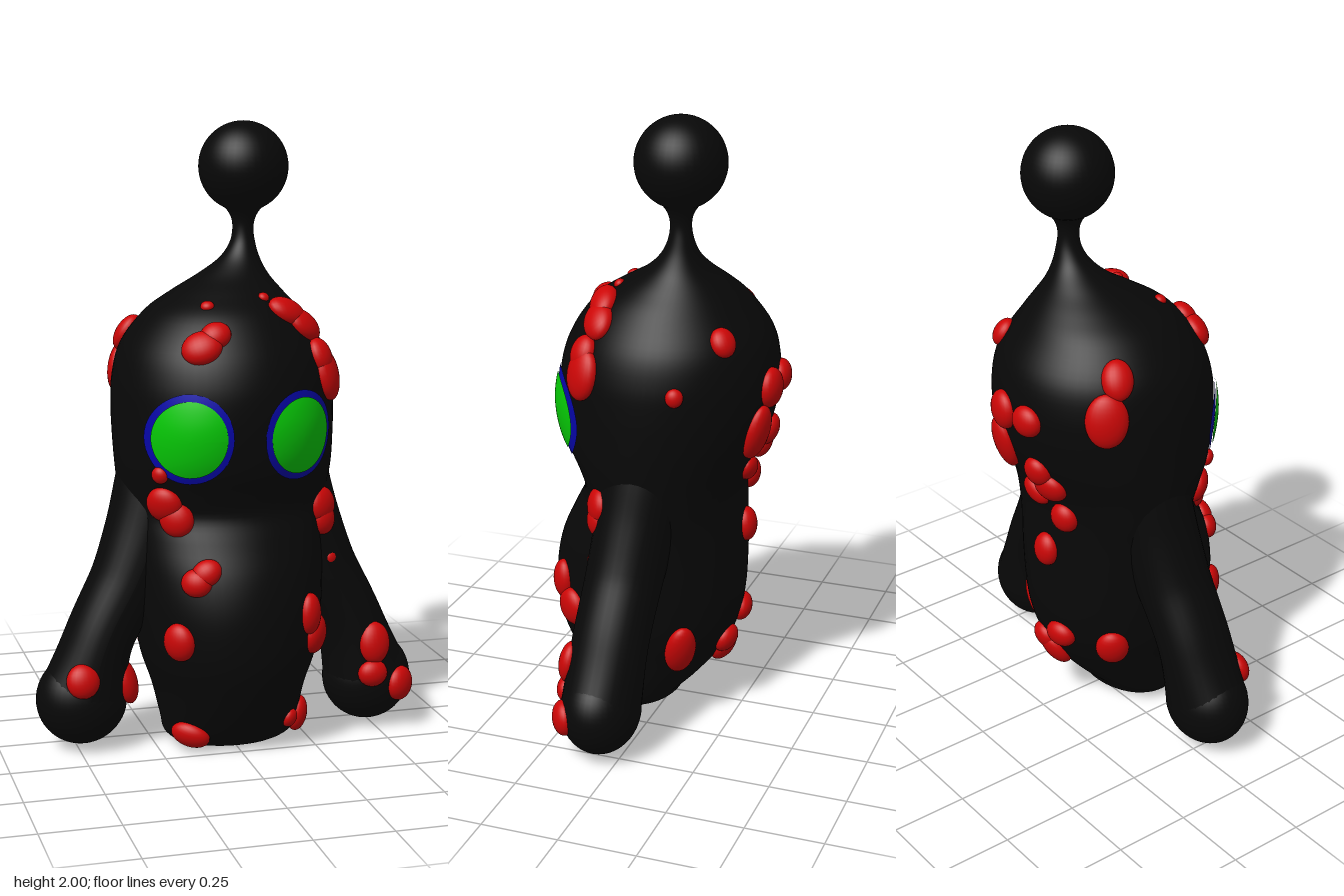
import * as THREE from 'three';

const mat = (name, color) => {
  const m = new THREE.MeshStandardMaterial({ color });
  m.name = name;
  return m;
};

// Body cross-sections: y, centre x, half width, front z, back z
const SECTIONS = [
  [0.0, 0, 0.001, 0.101, 0.099], [0.005, 0, 0.15, 0.2, -0.01], [0.04, 0, 0.215, 0.245, -0.04],
  [0.1, 0, 0.23, 0.288, -0.1], [0.2, 0, 0.252, 0.34, -0.18], [0.3, 0, 0.285, 0.378, -0.225],
  [0.4, 0, 0.3, 0.39, -0.245], [0.5, 0, 0.31, 0.385, -0.25], [0.6, 0, 0.315, 0.36, -0.25],
  [0.7, 0, 0.322, 0.312, -0.245], [0.78, 0, 0.335, 0.275, -0.245], [0.85, 0, 0.347, 0.295, -0.26],
  [0.92, 0, 0.354, 0.33, -0.29], [1.0, 0, 0.358, 0.35, -0.322], [1.1, 0, 0.36, 0.36, -0.345],
  [1.2, 0, 0.354, 0.352, -0.348], [1.3, 0, 0.325, 0.315, -0.325], [1.4, 0.005, 0.252, 0.24, -0.258],
  [1.46, 0.025, 0.182, 0.15, -0.205], [1.51, 0.05, 0.118, 0.065, -0.155], [1.56, 0.075, 0.068, 0.01, -0.12],
  [1.61, 0.087, 0.042, -0.018, -0.102], [1.66, 0.089, 0.034, -0.026, -0.094],
  [1.7, 0.09, 0.043, -0.017, -0.103], [1.735, 0.09, 0.071, 0.011, -0.131], [1.76, 0.09, 0.106, 0.046, -0.166],
];
const curveA = new THREE.CatmullRomCurve3(SECTIONS.map(s => new THREE.Vector3(s[0], s[1], s[2])), false, 'catmullrom', 0.5);
const curveB = new THREE.CatmullRomCurve3(SECTIONS.map(s => new THREE.Vector3(s[3], s[4], 0)), false, 'catmullrom', 0.5);

function sectionAt(u) {
  const a = curveA.getPoint(u), b = curveB.getPoint(u);
  return { y: a.x, cx: a.y, hx: a.z, cz: (b.x + b.y) / 2, hz: (b.x - b.y) / 2 };
}
function sectionAtY(y) {
  let lo = 0, hi = 1;
  for (let i = 0; i < 30; i++) {
    const m = (lo + hi) / 2;
    if (curveA.getPoint(m).x < y) lo = m; else hi = m;
  }
  return sectionAt(lo);
}
const ringPoint = (s, t) => new THREE.Vector3(s.cx + s.hx * Math.sin(t), s.y, s.cz + s.hz * Math.cos(t));
const arcsin = v => Math.asin(THREE.MathUtils.clamp(v, -1, 1));

function bodyGeometry(rows = 125, cols = 64) {
  const pos = [], idx = [];
  for (let i = 0; i <= rows; i++) {
    const s = sectionAt(i / rows);
    for (let j = 0; j < cols; j++) pos.push(...ringPoint(s, (j / cols) * Math.PI * 2).toArray());
  }
  for (let i = 0; i < rows; i++) for (let j = 0; j < cols; j++) {
    const k = (j + 1) % cols, a = i * cols + j, b = i * cols + k, c = b + cols, d = a + cols;
    idx.push(a, b, c, a, c, d);
  }
  const g = new THREE.BufferGeometry();
  g.setAttribute('position', new THREE.Float32BufferAttribute(pos, 3));
  g.setIndex(idx);
  g.computeVertexNormals();
  return g;
}

// Arm stations: centre x, y, z, radius across, radius in depth
const ARM = [
  [0.17, 1.02, 0, 0.145, 0.14], [0.213, 0.86, 0.015, 0.14, 0.14], [0.255, 0.72, 0.03, 0.13, 0.13],
  [0.32, 0.56, 0.045, 0.117, 0.124], [0.42, 0.37, 0.057, 0.114, 0.124], [0.485, 0.165, 0.066, 0.146, 0.126],
];
// Tube whose radii change along its length
function armGeometry(side) {
  const path = new THREE.CatmullRomCurve3(ARM.map(p => new THREE.Vector3(p[0] * side, p[1], p[2])));
  const radii = new THREE.CatmullRomCurve3(ARM.map((p, i) => new THREE.Vector3(p[3], p[4], i * 0.1)));
  const rows = 40, cols = 32, g = new THREE.TubeGeometry(path, rows, 1, cols);
  const p = g.attributes.position, v = new THREE.Vector3();
  for (let i = 0; i <= rows; i++) {
    const c = path.getPointAt(i / rows), r = radii.getPoint(i / rows);
    for (let j = 0; j <= cols; j++) {
      const k = i * (cols + 1) + j;
      v.fromBufferAttribute(p, k).sub(c);
      p.setXYZ(k, c.x + v.x * r.x, c.y + v.y * r.x, c.z + v.z * r.y);
    }
  }
  g.computeVertexNormals();
  return g;
}

// Elliptical patch laid over the front of the head, lifted at its middle
function eyeGeometry(x, y, rx, ry, edge, dome) {
  const g = new THREE.RingGeometry(0.001, 1, 48, 10), p = g.attributes.position;
  for (let i = 0; i < p.count; i++) {
    const u = p.getX(i), v = p.getY(i), s = sectionAtY(y + v * ry);
    const q = ringPoint(s, arcsin((x + u * rx - s.cx) / s.hx));
    const k = 1 + (edge + dome * (1 - u * u - v * v)) / Math.hypot(q.x, q.z);
    p.setXYZ(i, q.x * k, q.y, q.z * k);
  }
  g.computeVertexNormals();
  return g;
}

// Body spots by area: [x (or z on the sides), y, half width, half height, roll in degrees]
const SPOTS = {
  front: [
    [-0.135, 1.32, 0.065, 0.055, 20], [-0.09, 1.355, 0.05, 0.045, 30], [-0.09, 1.435, 0.022, 0.02, 0],
    [0.1, 1.455, 0.018, 0.018, 0], [0.17, 1.41, 0.07, 0.05, -35], [0.225, 1.365, 0.07, 0.055, -40],
    [0.27, 1.27, 0.05, 0.06, 0], [0.295, 1.21, 0.065, 0.085, 0], [-0.26, 0.92, 0.028, 0.028, 0],
    [-0.24, 0.82, 0.06, 0.06, 0], [-0.205, 0.775, 0.055, 0.06, 35], [-0.165, 0.59, 0.05, 0.045, 0],
    [-0.135, 0.62, 0.05, 0.042, 35], [-0.215, 0.395, 0.055, 0.062, 0], [0.21, 0.46, 0.045, 0.067, 0],
    [0.24, 0.38, 0.06, 0.065, 0], [-0.16, 0.06, 0.065, 0.045, -15], [0.17, 0.09, 0.03, 0.032, 0],
    [0.217, 0.08, 0.045, 0.06, 0],
  ],
  back: [
    [0.05, 1.15, 0.058, 0.065, 0], [-0.07, 1.155, 0.055, 0.052, 0], [0.09, 1.01, 0.058, 0.095, 0],
    [-0.07, 0.965, 0.05, 0.055, 0], [-0.095, 0.91, 0.06, 0.055, 0], [0.0, 0.85, 0.055, 0.04, -35],
    [-0.11, 0.79, 0.05, 0.052, 0], [-0.03, 0.64, 0.048, 0.058, 0], [0.2, 1.33, 0.042, 0.048, 0],
    [-0.07, 0.32, 0.055, 0.048, 0], [0.01, 0.21, 0.052, 0.07, 20], [0.04, 0.25, 0.052, 0.05, 0],
  ],
  left: [[-0.125, 1.18, 0.028, 0.03, 0], [-0.105, 0.27, 0.052, 0.095, 0]],
  right: [[-0.2, 1.2, 0.068, 0.088, 0], [-0.15, 1.32, 0.05, 0.065, 0], [-0.12, 0.3, 0.055, 0.068, 0]],
};
// Arm spots: position, facing, half width, half height
const ARM_SPOTS = [
  [[0.295, 0.775, 0.142], [0.55, 0.1, 0.8], 0.06, 0.06], [[0.3, 0.73, 0.142], [0.55, 0.1, 0.8], 0.05, 0.055],
  [[0.325, 0.6, 0.152], [0.2, 0.1, 1], 0.024, 0.025],
  [[0.475, 0.305, 0.173], [0.1, 0.15, 1], 0.054, 0.07], [[0.467, 0.205, 0.186], [0, 0, 1], 0.05, 0.045],
  [[0.57, 0.155, 0.16], [0.55, 0, 0.83], 0.055, 0.058], [[-0.5, 0.255, 0.175], [-0.05, 0.25, 1], 0.054, 0.056],
  [[-0.345, 0.22, 0.1], [0.9, 0.25, 0.35], 0.05, 0.075],
];

export function createModel() {
  const model = new THREE.Group();
  const black = mat('black skin', 0x080808), red = mat('red spots', 0xcc0606);
  const green = mat('green eyes', 0x06cc06), blue = mat('blue eye rims', 0x0606ac);
  const add = (name, geo, material) => {
    const m = new THREE.Mesh(geo, material);
    m.name = name;
    model.add(m);
    return m;
  };
  const ball = new THREE.SphereGeometry(1, 40, 28), blob = new THREE.SphereGeometry(1, 24, 16);

  add('body', bodyGeometry(), black);
  const tip = add('antennaBall', ball, black);
  tip.position.set(0.09, 1.855, -0.06);
  tip.scale.setScalar(0.145);

  const spot = (p, normal, rx, ry, roll) => {
    const m = add('spot', blob, red);
    m.position.copy(p);
    m.lookAt(p.clone().add(normal));
    m.rotateZ(THREE.MathUtils.degToRad(roll));
    m.scale.set(rx, ry, Math.min(0.036, 0.75 * Math.min(rx, ry)));
  };

  for (const side of [1, -1]) {
    // Arms with round hands
    const label = side > 0 ? 'left' : 'right';
    add(label + 'Arm', armGeometry(side), black);
    const hand = add(label + 'Hand', ball, black);
    hand.position.set(0.485 * side, 0.165, 0.066);
    hand.scale.set(0.148, 0.148, 0.127);
    // Eyes
    const ex = side > 0 ? 0.17 : -0.177;
    add(label + 'EyeRim', eyeGeometry(ex, 1.04, 0.124, 0.144, 0.004, 0.003), blue);
    add(label + 'Eye', eyeGeometry(ex, 1.04, 0.105, 0.122, 0.009, 0.012), green);
  }

  for (const [p, n, rx, ry] of ARM_SPOTS) spot(new THREE.Vector3(...p), new THREE.Vector3(...n), rx, ry, 0);

  // Spots on the body
  for (const [area, list] of Object.entries(SPOTS)) for (const [a, y, rx, ry, roll] of list) {
    const s = sectionAtY(y);
    let t = arcsin((a - s.cx) / s.hx);
    if (area === 'back') t = Math.PI - t;
    if (area === 'left') t = Math.acos((a - s.cz) / s.hz);
    if (area === 'right') t = -Math.acos((a - s.cz) / s.hz);
    const p = ringPoint(s, t);
    const along = ringPoint(s, t + 0.02).sub(ringPoint(s, t - 0.02));
    const up = ringPoint(sectionAtY(y + 0.02), t).sub(ringPoint(sectionAtY(Math.max(y - 0.02, 0.01)), t));
    spot(p, along.cross(up).normalize(), rx, ry, roll);
  }
  return model;
}
